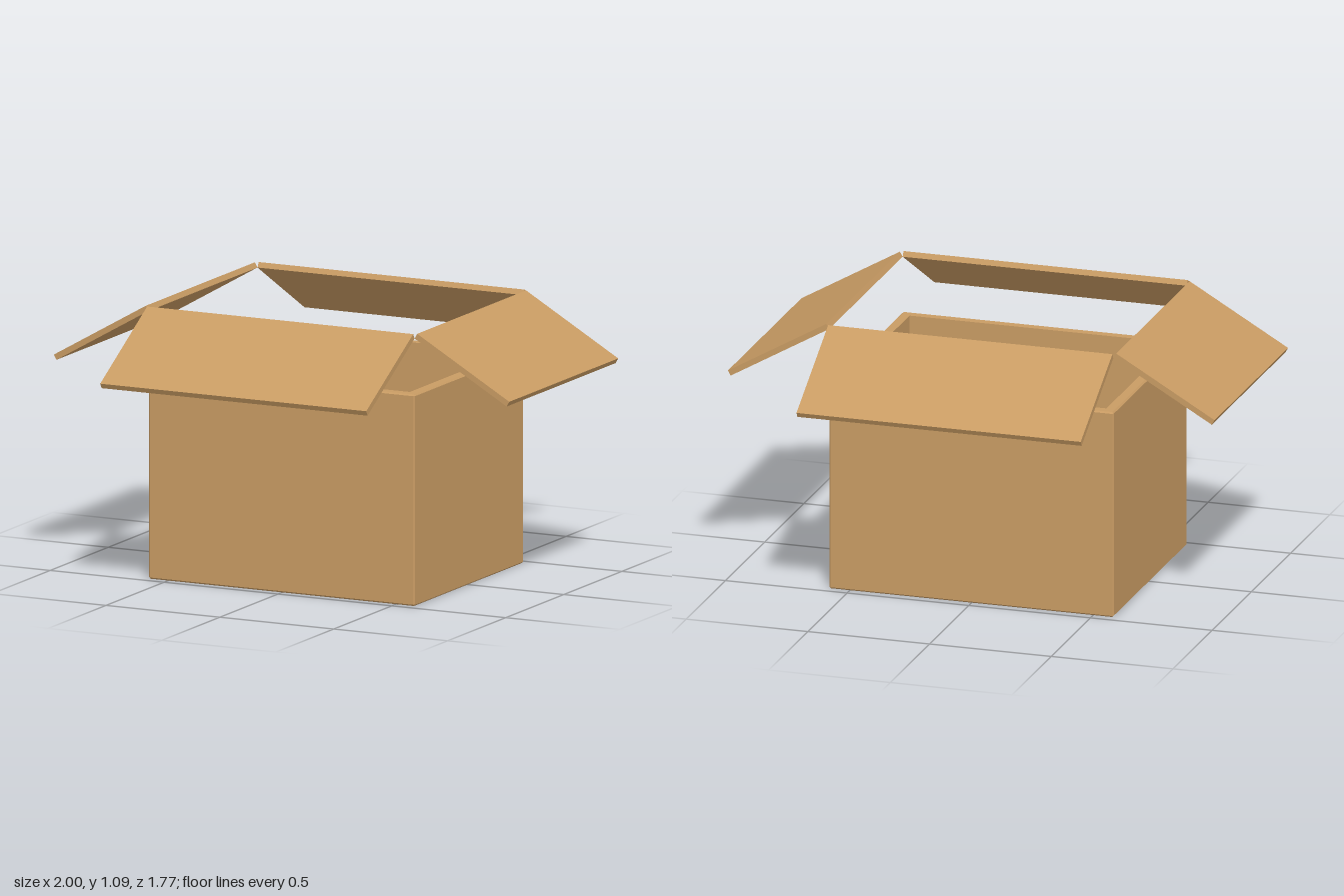
import * as THREE from 'three';

const HALF_X = 0.584, HALF_Z = 0.469, HEIGHT = 0.845, WALL = 0.042, BEVEL = 0.006;
const FLAP_LENGTH = 0.467, FLAP_THICK = 0.023, FLAP_TOP = 1.09, FLAP_TILT = Math.PI / 6;

// Rectangle with cut corners, counter-clockwise seen from above
function ring(hx, hz, cut, y) {
  return [
    [hx, hz - cut], [hx, -hz + cut], [hx - cut, -hz], [-hx + cut, -hz],
    [-hx, -hz + cut], [-hx, hz - cut], [-hx + cut, hz], [hx - cut, hz],
  ].map(([x, z]) => new THREE.Vector3(x, y, z));
}

// Open box shell: under the base, up the outside, over the rim, down the inside
function shellGeometry() {
  const inX = HALF_X - WALL, inZ = HALF_Z - WALL;
  const rings = [
    ring(0, 0, 0, 0),
    ring(HALF_X - BEVEL, HALF_Z - BEVEL, 0, 0),
    ring(HALF_X, HALF_Z, BEVEL, BEVEL),
    ring(HALF_X, HALF_Z, BEVEL, HEIGHT - BEVEL),
    ring(HALF_X - BEVEL, HALF_Z - BEVEL, 0, HEIGHT),
    ring(inX, inZ, 0, HEIGHT),
    ring(inX, inZ, 0, WALL),
    ring(0, 0, 0, WALL),
  ];
  const points = [];
  const addTriangle = (a, b, c) => {
    if (!a.equals(b) && !b.equals(c) && !c.equals(a)) points.push(a, b, c);
  };
  for (let i = 0; i < rings.length - 1; i++) {
    const low = rings[i], high = rings[i + 1];
    for (let j = 0; j < 8; j++) {
      const k = (j + 1) % 8;
      addTriangle(low[j], low[k], high[k]);
      addTriangle(low[j], high[k], high[j]);
    }
  }
  const geometry = new THREE.BufferGeometry().setFromPoints(points);
  geometry.computeVertexNormals();
  return geometry;
}

export function createModel() {
  const model = new THREE.Group();
  model.name = 'openCardboardBox';
  const cardboard = new THREE.MeshStandardMaterial({ color: 0xc89b63, flatShading: true });

  const shell = new THREE.Mesh(shellGeometry(), cardboard);
  shell.name = 'boxShell';
  model.add(shell);

  // Four flaps raised above the rim, sloping outwards and down
  const flaps = [
    ['frontFlap', 0, HALF_Z, HALF_X],
    ['leftFlap', Math.PI / 2, HALF_X, HALF_Z],
    ['backFlap', Math.PI, HALF_Z, HALF_X],
    ['rightFlap', -Math.PI / 2, HALF_X, HALF_Z],
  ];
  for (const [name, turn, reach, halfWidth] of flaps) {
    const geometry = new THREE.BoxGeometry(halfWidth * 2, FLAP_THICK, FLAP_LENGTH);
    geometry.translate(0, -FLAP_THICK / 2, FLAP_LENGTH / 2);
    geometry.rotateX(FLAP_TILT);
    geometry.translate(0, FLAP_TOP, reach + FLAP_THICK * Math.sin(FLAP_TILT));
    geometry.rotateY(turn);
    const flap = new THREE.Mesh(geometry, cardboard);
    flap.name = name;
    model.add(flap);
  }
  return model;
}
